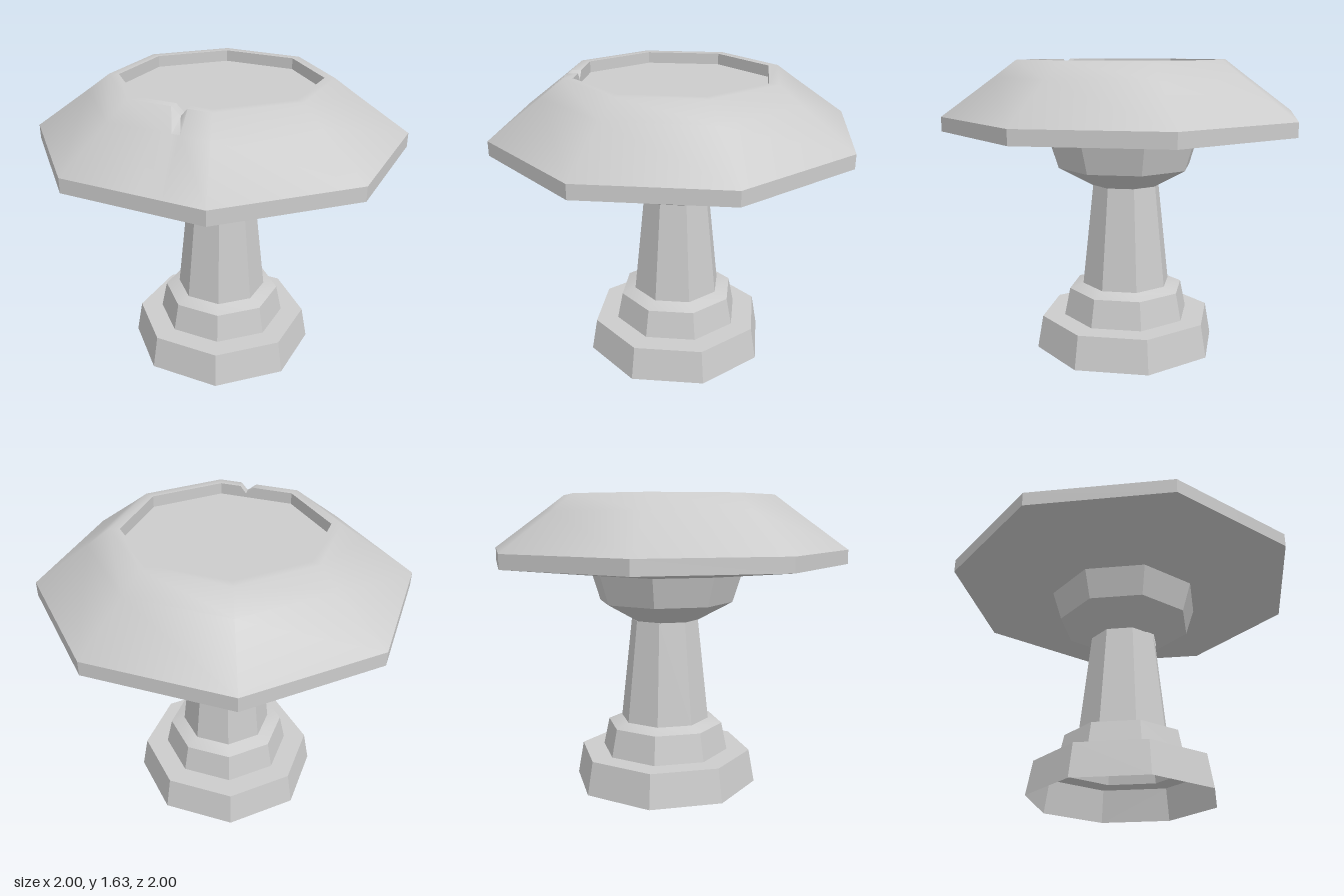
import * as THREE from 'three';
import { toCreasedNormals } from 'three/addons/utils/BufferGeometryUtils.js';

const SIDES = 8;
const material = new THREE.MeshStandardMaterial({ color: 0xcccccc, side: THREE.DoubleSide });

// Point on an octagon's outline; s counts sides, its fraction runs along the side
function outline(s, { r, y, dx = 0, dz = 0 }) {
  const i = Math.floor(s), f = s - i, step = (Math.PI * 2) / SIDES;
  const mix = (fn) => fn(i * step) * (1 - f) + fn((i + 1) * step) * f;
  return new THREE.Vector3(r * mix(Math.cos) + dx, y, r * mix(Math.sin) + dz);
}

// Skin between octagonal rings, listed from the bottom outside upwards
function loft(name, rings, extra = [], shape = (p) => p) {
  const stops = [...Array(SIDES + 1).keys(), ...extra].sort((a, b) => a - b);
  const grid = rings.map((ring) => stops.map((s) => shape(outline(s, ring), s, ring)));
  const pos = [];
  const tri = (...pts) => pts.forEach((p) => pos.push(p.x, p.y, p.z));
  for (let j = 0; j < rings.length - 1; j++) {
    for (let i = 0; i < stops.length - 1; i++) {
      const a = grid[j][i], b = grid[j + 1][i], c = grid[j + 1][i + 1], d = grid[j][i + 1];
      if (rings[j + 1].r > 0) tri(a, b, c);
      if (rings[j].r > 0) tri(a, c, d);
    }
  }
  const geo = new THREE.BufferGeometry();
  geo.setAttribute('position', new THREE.Float32BufferAttribute(pos, 3));
  const mesh = new THREE.Mesh(toCreasedNormals(geo, 0.7), material);
  mesh.name = name;
  return mesh;
}

export function createModel() {
  const group = new THREE.Group();
  group.name = 'birdbath';

  // Stepped foot, hollow and open underneath, with the tapering column
  const pedestal = new THREE.Group();
  pedestal.name = 'pedestal';
  pedestal.position.set(0.004, 0, -0.004);
  pedestal.add(
    loft('foot', [
      { r: 0.522, y: 0 },
      { r: 0.489, y: 0.185 },
      { r: 0.362, y: 0.185 },
      { r: 0.33, y: 0.34 },
      { r: 0.252, y: 0.367 },
    ]),
    loft('column', [
      { r: 0.252, y: 0.367 },
      { r: 0.19, y: 0.938 },
    ]),
  );
  group.add(pedestal);

  // Flared collar carrying the bowl
  group.add(loft('collar', [
    { r: 0.19, y: 0.938 },
    { r: 0.379, y: 1.04 },
    { r: 0.43, y: 1.2 },
  ]));

  // Wide bowl with a sunken basin; one side has a V-shaped spout in its rim
  const spout = [3.28, 3.36, 3.47];
  const off = { dx: -0.007, dz: 0.005 };
  const rings = [
    { r: 0.43, y: 1.2 },
    { r: 1, y: 1.258 },
    { r: 1, y: 1.335 },
    { r: 0.713, y: 1.541, dx: -0.005, dz: 0.0035 },
    { r: 0.592, y: 1.63, ...off },
    { r: 0.538, y: 1.63, ...off },
    { r: 0.538, y: 1.568, ...off },
    { r: 0, y: 1.568, ...off },
  ];
  const cutSpout = (p, s, ring) => {
    if (s === spout[1] && ring.y === 1.63) p.y = 1.59;
    return p;
  };
  group.add(loft('bowl', rings, spout, cutSpout));

  return group;
}
